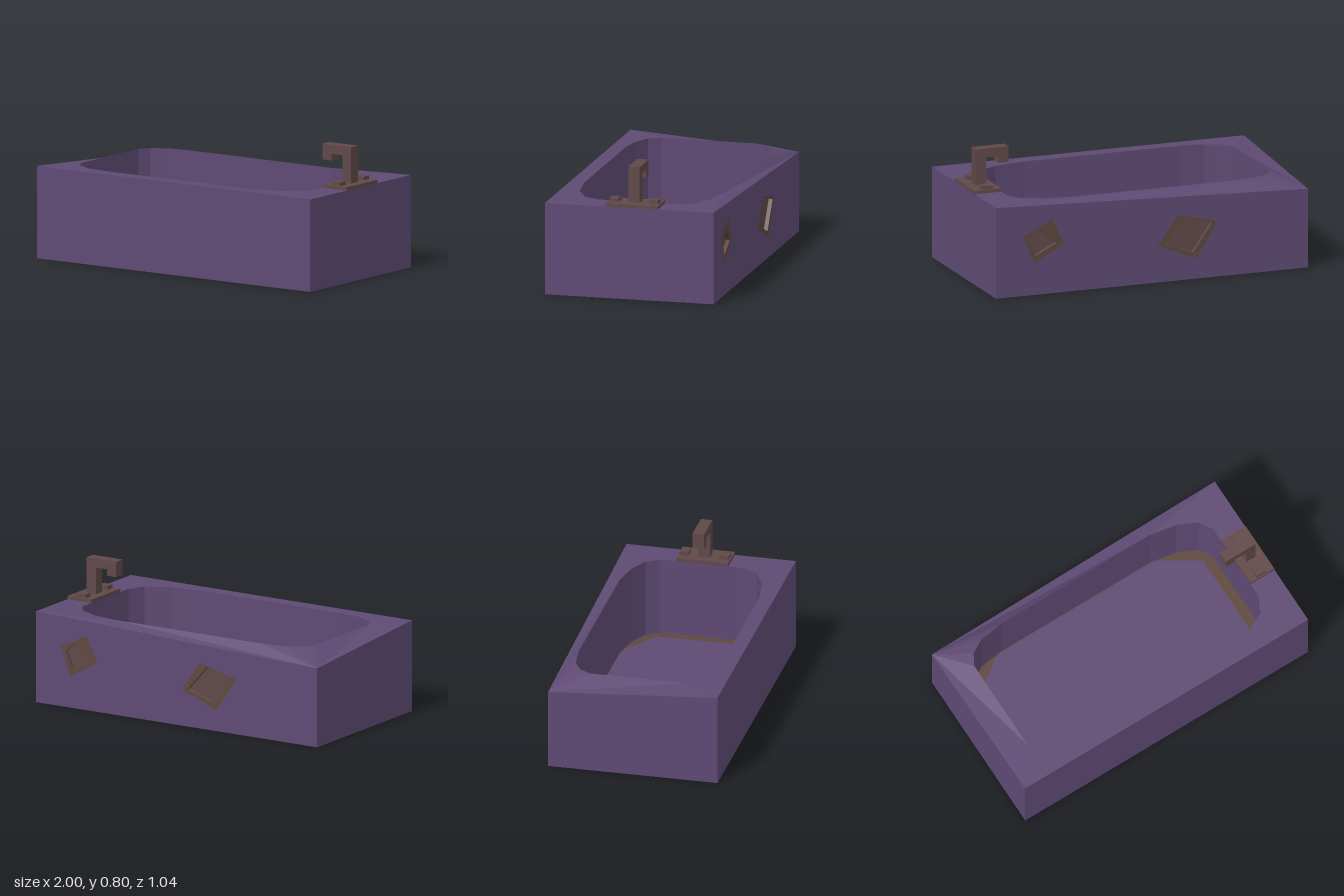
import * as THREE from 'three';

const mat = (name, color) => new THREE.MeshStandardMaterial({ name, color, flatShading: true, side: THREE.DoubleSide });
const V = (x, y, z) => new THREE.Vector3(x, y, z);

// Geometry from a list of triangle corner points
function fromTriangles(points) {
  const g = new THREE.BufferGeometry().setFromPoints(points);
  g.computeVertexNormals();
  return g;
}

// Quads between two matching loops; skip leaves one side open
function band(a, b, skip = -1) {
  const t = [];
  a.forEach((p, i) => {
    if (i === skip) return;
    const j = (i + 1) % a.length;
    t.push(a[j], p, b[i], a[j], b[i], b[j]);
  });
  return fromTriangles(t);
}

// Flat horizontal polygon from [x, z] points, facing up
function slab(points, y) {
  const s = new THREE.Shape(points.map(([x, z]) => new THREE.Vector2(x, -z)));
  return new THREE.ShapeGeometry(s).rotateX(-Math.PI / 2).translate(0, y, 0);
}

// Flat polygon facing -z from [x, y] points, with holes
function backPanel(points, holes, z) {
  const flip = (list) => list.map(([x, y]) => new THREE.Vector2(-x, y));
  const s = new THREE.Shape(flip(points));
  holes.forEach((h) => s.holes.push(new THREE.Path(flip(h))));
  return new THREE.ShapeGeometry(s).rotateY(Math.PI).translate(0, 0, z);
}

export function createModel() {
  const group = new THREE.Group();
  const purple = mat('purple shell', 0x5e4a73);
  const bronze = mat('bronze fixture', 0x604848);
  const brown = mat('brown trim', 0x5e483d);
  const add = (name, geometry, material) => {
    const m = new THREE.Mesh(geometry, material);
    m.name = name;
    group.add(m);
    return m;
  };

  const TOP = 0.56, FLOOR = 0.08, LOW = 0.486, Z = 0.52;
  // Outer corners: back right, back left, front left, front right; the first one sags
  const outerTop = [V(-1, LOW, -Z), V(1, TOP, -Z), V(1, TOP, Z), V(-1, TOP, Z)];
  const outerBottom = outerTop.map((p) => V(p.x, 0, p.z));
  // Basin outline, four points around each corner
  const outline = [
    [-0.84, -0.30], [-0.80, -0.37], [-0.71, -0.42], [-0.56, -0.44],
    [0.49, -0.44], [0.66, -0.41], [0.78, -0.35], [0.83, -0.27],
    [0.83, 0.23], [0.78, 0.33], [0.64, 0.40], [0.44, 0.43],
    [-0.55, 0.43], [-0.70, 0.41], [-0.80, 0.36], [-0.84, 0.29],
  ];
  const innerTop = outline.map(([x, z]) => V(x, TOP, z));
  const innerBottom = outline.map(([x, z]) => V(x, FLOOR, z));

  // Rim: a fan at each corner and a quad along each side
  const rim = [];
  outerTop.forEach((c, k) => {
    const next = outerTop[(k + 1) % 4];
    const p = innerTop.slice(k * 4, k * 4 + 4);
    const q = innerTop[((k + 1) * 4) % 16];
    for (let i = 0; i < 3; i++) rim.push(c, p[i], p[i + 1]);
    if (k === 3) rim.push(c, p[3], next, p[3], q, next);
    else rim.push(c, p[3], q, c, q, next);
  });
  add('rim', fromTriangles(rim), purple);
  add('outerWalls', band(outerBottom, outerTop, 0), purple);
  add('basinWalls', band(innerTop, innerBottom), purple);
  add('underside', new THREE.PlaneGeometry(2, 2 * Z).rotateX(Math.PI / 2), purple);

  // Basin floor with its worn border
  add('basinFloorBorder', slab(outline, FLOOR), brown);
  add('basinFloor', slab([
    [-0.785, -0.30], [-0.59, -0.434], [0.52, -0.434], [0.765, -0.28],
    [0.765, 0.23], [0.48, 0.424], [-0.56, 0.428], [-0.79, 0.28],
  ], FLOOR + 0.004), purple);

  // Back wall with two recessed, framed hatches
  const hatches = [
    {
      frame: [[0.824, 0.367], [0.64, 0.456], [0.563, 0.30], [0.755, 0.194]],
      recess: [[0.788, 0.347], [0.715, 0.40], [0.613, 0.308], [0.745, 0.24]],
    },
    {
      frame: [[-0.036, 0.224], [-0.168, 0.404], [-0.423, 0.34], [-0.285, 0.126]],
      recess: [[-0.08, 0.23], [-0.215, 0.385], [-0.385, 0.335], [-0.265, 0.165]],
    },
  ];
  add('backWall', backPanel([[-1, 0], [1, 0], [1, TOP], [-1, LOW]], hatches.map((h) => h.frame), -Z), purple);
  hatches.forEach(({ frame, recess }) => {
    const depth = 0.025;
    add('hatchFrame', backPanel(frame, [recess], -Z), brown);
    add('hatchPanel', backPanel(recess, [], -Z + depth), bronze);
    const edge = (z) => recess.map(([x, y]) => V(x, y, z));
    add('hatchSides', band(edge(-Z + depth), edge(-Z)), bronze);
  });

  // Faucet: base plate, two handles and a hooked spout
  const box = (name, x0, x1, y0, y1, z0, z1) => add(name,
    new THREE.BoxGeometry(x1 - x0, y1 - y0, z1 - z0)
      .translate((x0 + x1) / 2, (y0 + y1) / 2, (z0 + z1) / 2), bronze);
  box('faucetBase', 0.83, 1, TOP, 0.58, -0.176, 0.145);
  box('faucetHandle', 0.88, 0.945, 0.58, 0.602, 0.08, 0.135);
  box('faucetHandle', 0.88, 0.945, 0.58, 0.602, -0.165, -0.11);
  const spout = new THREE.Shape([
    [0.88, 0.58], [0.945, 0.58], [0.945, 0.80], [0.735, 0.80],
    [0.735, 0.705], [0.80, 0.705], [0.80, 0.745], [0.88, 0.745],
  ].map(([x, y]) => new THREE.Vector2(x, y)));
  add('faucetSpout', new THREE.ExtrudeGeometry(spout, { depth: 0.07, bevelEnabled: false })
    .translate(0, 0, -0.05), bronze);

  return group;
}
